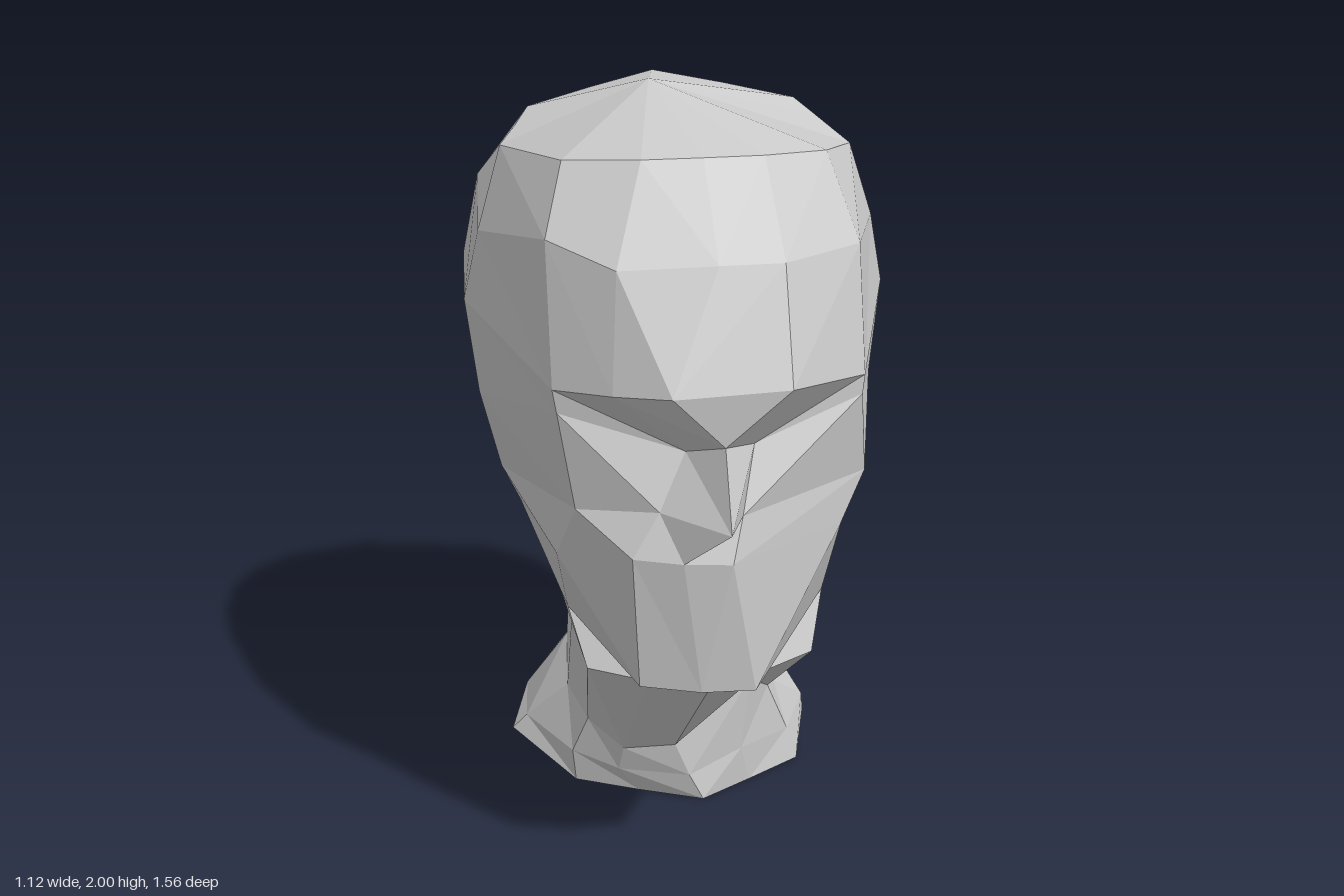
import * as THREE from 'three';

// Half section, front to back: width factor and depth fraction per column
const WIDE = [0, 0.33, 0.72, 1, 0.95, 0.8, 0.54, 0];
const DEEP = [0, 0.01, 0.15, 0.5, 0.76, 0.866, 0.95, 1];
const HALF = 7, N = 14;

// One closed ring. y: heights at front, side, back; z: front and back; w: half width;
// fix: columns moved to a sculpted position, mirrored unless a negative key
// gives the other side its own
function ring({ y, z, w, fix = {} }) {
  const points = [];
  for (let k = 0; k < N; k++) {
    const right = k > HALF;
    const c = right ? N - k : k;
    const t = DEEP[c];
    const h = t < 0.5
      ? THREE.MathUtils.lerp(y[0], y[1], t * 2)
      : THREE.MathUtils.lerp(y[1], y[2], t * 2 - 1);
    const [px, py, pz] = fix[c] ?? [WIDE[c] * w, h, THREE.MathUtils.lerp(z[0], z[1], t)];
    points.push(right ? fix[-c] ?? [-px, py, pz] : [px, py, pz]);
  }
  return points;
}

// Faceted skin over rings listed from top to bottom, with optional end points
function skin(name, rings, top, bottom) {
  const pos = [];
  const tri = (...corners) => corners.forEach((c) => pos.push(...c));
  for (let k = 0; k < N; k++) {
    const n = (k + 1) % N;
    if (top) tri(top, rings[0][k], rings[0][n]);
    for (let i = 0; i < rings.length - 1; i++) {
      const a = rings[i][k], b = rings[i + 1][k], c = rings[i + 1][n], d = rings[i][n];
      if (k < HALF) { tri(a, b, d); tri(b, c, d); }
      else { tri(a, b, c); tri(a, c, d); }
    }
    const last = rings[rings.length - 1];
    if (bottom) tri(bottom, last[n], last[k]);
  }
  const geometry = new THREE.BufferGeometry();
  geometry.setAttribute('position', new THREE.Float32BufferAttribute(pos, 3));
  geometry.computeVertexNormals();
  const material = new THREE.MeshStandardMaterial({
    color: 0xcccccc, flatShading: true, side: THREE.DoubleSide,
  });
  const mesh = new THREE.Mesh(geometry, material);
  mesh.name = name;
  return mesh;
}

export function createModel() {
  // Skull, from crown to brow
  const crown = ring({
    y: [1.9, 1.83, 1.96], z: [0.38, -0.42], w: 0.46,
    fix: {
      4: [0.4, 1.875, -0.18], 5: [0.36, 1.905, -0.26], 6: [0.18, 1.935, -0.34],
      [-3]: [-0.45, 1.84, -0.1],
    },
  });
  const forehead = ring({
    y: [1.69, 1.64, 1.78], z: [0.59, -0.61], w: 0.52,
    fix: {
      1: [0.16, 1.69, 0.59], 2: [0.385, 1.68, 0.41],
      [-1]: [-0.24, 1.68, 0.56], [-2]: [-0.39, 1.72, 0.4],
    },
  });
  const brow = ring({
    y: [1.41, 1.45, 1.49], z: [0.71, -0.78], w: 0.56,
    fix: {
      0: [-0.13, 1.405, 0.71], 1: [0.16, 1.41, 0.7], 2: [0.385, 1.37, 0.5],
      [-1]: [-0.26, 1.39, 0.62], [-2]: [-0.39, 1.37, 0.49],
    },
  });

  // Face: sunken eyes, lopsided nose, mouth panel, jaw
  const eyes = ring({
    y: [1.27, 1.2, 1.12], z: [0.69, -0.72], w: 0.53,
    fix: {
      1: [0.09, 1.24, 0.59], 2: [0.38, 1.32, 0.5],
      [-1]: [-0.08, 1.23, 0.59], [-2]: [-0.38, 1.31, 0.49],
    },
  });
  const nose = ring({
    y: [1.08, 0.98, 0.95], z: [0.78, -0.61], w: 0.48,
    fix: {
      1: [0.05, 1.08, 0.66], 2: [0.41, 1.09, 0.43], 3: [0.48, 1.0, 0.02],
      [-1]: [-0.15, 1.09, 0.63], [-2]: [-0.34, 1.06, 0.5],
    },
  });
  const lip = ring({
    y: [0.97, 0.87, 0.8], z: [0.7, -0.52], w: 0.43,
    fix: {
      0: [-0.1, 0.975, 0.69], 1: [0.02, 0.97, 0.7], 2: [0.34, 0.97, 0.48],
      3: [0.43, 0.89, 0], 4: [0.39, 0.81, -0.27],
      [-1]: [-0.22, 0.98, 0.65], [-2]: [-0.38, 0.91, 0.42],
    },
  });
  const jaw = ring({
    y: [0.6, 0.68, 0.63], z: [0.66, -0.42], w: 0.31,
    fix: {
      0: [-0.05, 0.61, 0.66], 1: [0.09, 0.6, 0.65], 2: [0.34, 0.7, 0.29],
      3: [0.34, 0.67, 0.1], 4: [0.31, 0.66, -0.27], 5: [0.24, 0.65, -0.34],
      [-1]: [-0.2, 0.62, 0.62],
    },
  });

  // Neck, from under the chin to the flared foot
  const throat = ring({
    y: [0.51, 0.54, 0.53], z: [0.47, -0.43], w: 0.3,
    fix: {
      1: [0.15, 0.53, 0.42], 2: [0.3, 0.55, 0.36], 3: [0.3, 0.54, 0.02],
      4: [0.27, 0.55, -0.28], 5: [0.22, 0.54, -0.36],
    },
  });
  const neck = ring({
    y: [0.18, 0.26, 0.36], z: [0.14, -0.47], w: 0.3,
    fix: {
      0: [-0.03, 0.18, 0.14], 1: [0.19, 0.34, 0.09], 2: [0.26, 0.27, 0],
      3: [0.3, 0.23, -0.1], 4: [0.28, 0.34, -0.29],
      [-1]: [-0.17, 0.16, 0.1], [-2]: [-0.26, 0.22, 0.02], [-3]: [-0.3, 0.26, -0.12],
    },
  });
  const flare = ring({
    y: [0.06, 0.12, 0.14], z: [0.14, -0.58], w: 0.41,
    fix: {
      0: [0.01, 0.08, 0.14], 1: [0.17, 0.12, 0.08], 2: [0.33, 0.1, -0.05],
      [-1]: [-0.18, 0.08, 0.07], [-2]: [-0.3, 0.1, -0.02],
    },
  });
  const foot = ring({
    y: [0, 0.06, 0.08], z: [0.14, -0.62], w: 0.42,
    fix: {
      0: [0.05, 0, 0.14], 1: [0.2, 0, 0.05], 2: [0.36, 0, -0.05],
      [-1]: [-0.12, 0, 0.06], [-2]: [-0.29, 0, -0.03], [-3]: [-0.45, 0.07, -0.24],
    },
  });

  const group = new THREE.Group();
  group.name = 'bust';
  group.add(
    skin('head', [crown, forehead, brow, eyes, nose, lip, jaw, throat], [-0.06, 2, -0.1], null),
    skin('neck', [throat, neck, flare, foot], null, [0, 0.04, -0.24]),
  );
  return group;
}
